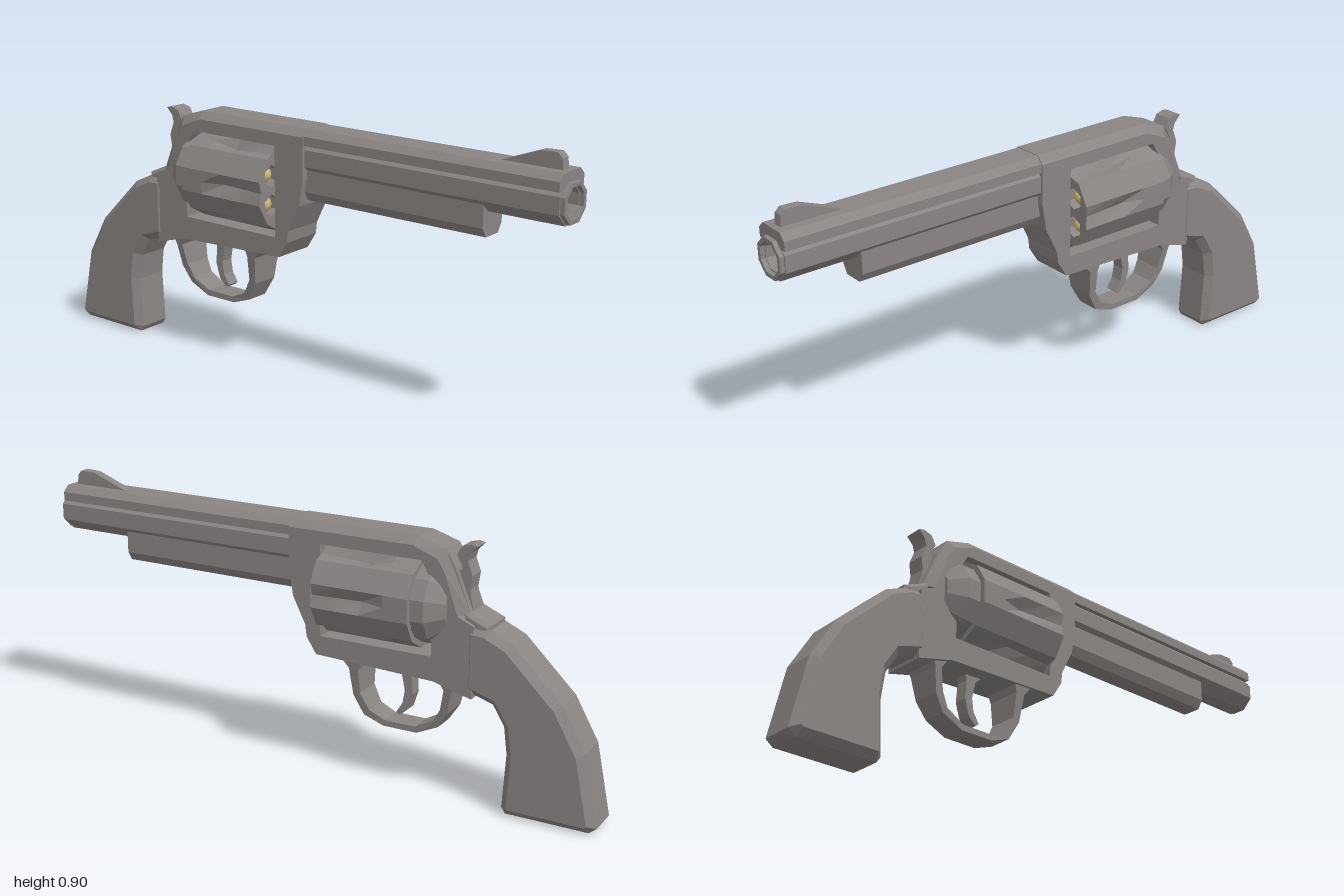
import * as THREE from 'three';

const steel = new THREE.MeshStandardMaterial({ color: 0x8a8583 });
steel.name = 'steel grey';
const brass = new THREE.MeshStandardMaterial({ color: 0xcdb872 });
brass.name = 'brass';

// Side profile given as [z, y] points, extruded across x and centred.
function sideProfile(points, width, bevel = 0, holes = []) {
  const flip = (list) => list.map(([z, y]) => new THREE.Vector2(-z, y));
  const shape = new THREE.Shape(flip(points));
  for (const h of holes) shape.holes.push(new THREE.Path(flip(h)));
  const depth = width - 2 * bevel;
  const g = new THREE.ExtrudeGeometry(shape, {
    depth, bevelEnabled: bevel > 0, bevelSize: bevel, bevelThickness: bevel,
    bevelOffset: -bevel, bevelSegments: 1,
  });
  return g.translate(0, 0, -depth / 2).rotateY(Math.PI / 2);
}

// Cross-section in x, y extruded from z0 forward to z1.
function lengthwise(points, z0, z1, hole, steps = 1) {
  const shape = new THREE.Shape(points.map(([x, y]) => new THREE.Vector2(x, y)));
  for (const h of hole || []) shape.holes.push(new THREE.Path(h.map(([x, y]) => new THREE.Vector2(x, y))));
  return new THREE.ExtrudeGeometry(shape, { depth: z1 - z0, bevelEnabled: false, steps }).translate(0, 0, z0);
}

function ngon(n, r, cx, cy, phase = 0) {
  return Array.from({ length: n }, (_, i) => {
    const a = phase + (i / n) * Math.PI * 2;
    return [cx + r * Math.cos(a), cy + r * Math.sin(a)];
  });
}

// Scale x of each vertex by a factor depending on (z, y), then refresh flat normals.
function scaleWidth(g, factor) {
  const p = g.attributes.position;
  for (let i = 0; i < p.count; i++) p.setX(i, p.getX(i) * factor(p.getZ(i), p.getY(i)));
  g.computeVertexNormals();
  return g;
}

export function createModel() {
  const model = new THREE.Group();
  const add = (name, geometry, material = steel, parent = model) => {
    const m = new THREE.Mesh(geometry, material);
    m.name = name;
    parent.add(m);
    return m;
  };

  // Barrel: hollow octagon with a chamfered rib on top and a lug below
  const by = 0.759, oct = Math.PI / 8;
  add('barrel', lengthwise(ngon(8, 0.071, 0, by, oct), 0.06, 0.985, [ngon(8, 0.048, 0, by, oct)]));
  add('muzzleCrown', lengthwise(ngon(8, 0.066, 0, by, oct), 0.985, 1, [ngon(8, 0.052, 0, by, oct)]));
  add('borePlug', lengthwise(ngon(6, 0.05, 0, by), 0.06, 0.93));
  add('barrelRib', lengthwise(
    [[-0.069, 0.8], [0.069, 0.8], [0.069, 0.83], [0.047, 0.851], [-0.047, 0.851], [-0.069, 0.83]], 0.06, 0.985,
    [ngon(8, 0.048, 0, by, oct).map(([x, y]) => [x * 0.3, 0.81 + (y - by) * 0.1])]));
  add('underLug', lengthwise(
    [[-0.052, 0.72], [-0.052, 0.645], [-0.033, 0.615], [0.033, 0.615], [0.052, 0.645], [0.052, 0.72]], 0.04, 0.73));
  add('frontSight', sideProfile(
    [[0.965, 0.845], [0.96, 0.885], [0.945, 0.9], [0.89, 0.898], [0.76, 0.85], [0.76, 0.845]], 0.033));

  // Frame with cylinder window
  const inner = [[-0.525, 0.625], [-0.48, 0.755], [-0.455, 0.795], [-0.37, 0.828], [0.07, 0.828]];
  add('frame', sideProfile([
    ...inner, [0.07, 0.69], [0.055, 0.6], [0.01, 0.51], [0.005, 0.47], [-0.03, 0.415], [-0.45, 0.4],
    [-0.58, 0.365], [-0.58, 0.6],
  ], 0.15, 0, [[[-0.045, 0.785], [-0.4, 0.785], [-0.44, 0.72], [-0.44, 0.48], [-0.045, 0.48]]]));

  // Chamfered strip along the top and back of the frame
  const outer = [[0.07, 0.853], [-0.38, 0.853], [-0.47, 0.825], [-0.502, 0.77], [-0.56, 0.63]];
  const isOuter = (z, y) => outer.some(([a, b]) => Math.hypot(a - z, b - y) < 0.002);
  add('topStrap', scaleWidth(sideProfile([...outer, ...inner], 0.15), (z, y) => (isOuter(z, y) ? 0.66 : 1)));
  add('backTang', sideProfile(
    [[-0.53, 0.65], [-0.56, 0.635], [-0.63, 0.605], [-0.63, 0.585], [-0.56, 0.56]], 0.125, 0.012));

  // Fluted cylinder with six chambers
  const cylinder = new THREE.Group();
  cylinder.name = 'cylinder';
  cylinder.position.set(0, 0.637, 0);
  model.add(cylinder);
  const R = 0.152, ring = [];
  for (let k = 0; k < 6; k++) {
    const a = (k * Math.PI) / 3;
    for (const [d, r] of [[-1, R], [0, R * 0.966], [1, R]]) {
      const t = a + (d * Math.PI) / 12;
      ring.push([r * Math.cos(t), r * Math.sin(t)]);
    }
  }
  const chambers = Array.from({ length: 6 }, (_, k) => {
    const a = Math.PI / 6 + (k * Math.PI) / 3;
    return [0.098 * Math.cos(a), 0.098 * Math.sin(a), a];
  });
  const body = lengthwise(ring, -0.39, -0.05, chambers.map(([x, y, a]) => ngon(6, 0.037, x, y, a)), 4);
  const p = body.attributes.position;
  for (let i = 0; i < p.count; i++) {
    const x = p.getX(i), y = p.getY(i), z = p.getZ(i), r = Math.hypot(x, y);
    if (z < -0.29 || Math.abs(r - R * 0.966) > 0.001) continue;
    const s = (z < -0.2 ? 0.122 : z < -0.1 ? 0.129 : 0.136) / r;
    p.setXY(i, x * s, y * s);
  }
  body.computeVertexNormals();
  add('cylinderBody', body, steel, cylinder);
  for (const [name, front, back, z0, z1] of [
    ['cylinderRim', 0.133, 0.133, -0.385, -0.435], ['recoilShield', 0.133, 0.09, -0.435, -0.49]]) {
    const g = new THREE.CylinderGeometry(front, back, z0 - z1, 12).toNonIndexed();
    g.rotateX(Math.PI / 2).rotateZ(Math.PI / 12).translate(0, 0, (z0 + z1) / 2);
    g.computeVertexNormals();
    add(name, g, steel, cylinder);
  }
  for (const [x, y] of chambers) {
    const round = add('cartridge', new THREE.SphereGeometry(0.036, 12, 8), brass, cylinder);
    round.scale.z = 1.6;
    round.position.set(x, y, -0.115);
  }

  // Hammer with thumb spur
  add('hammer', sideProfile([
    [-0.47, 0.66], [-0.485, 0.74], [-0.52, 0.765], [-0.498, 0.805], [-0.515, 0.835], [-0.545, 0.843], [-0.565, 0.838],
    [-0.542, 0.815], [-0.535, 0.79], [-0.552, 0.745], [-0.545, 0.7], [-0.56, 0.63],
  ], 0.062));

  // Grip with chamfered edges
  add('grip', sideProfile([
    [-0.55, 0.6], [-0.62, 0.597], [-0.7, 0.56], [-0.87, 0.395], [-0.95, 0.255], [-1, 0.02], [-0.975, 0],
    [-0.7, 0], [-0.687, 0.02], [-0.697, 0.2], [-0.685, 0.29], [-0.645, 0.355], [-0.55, 0.385],
  ], 0.158, 0.024));

  // Trigger guard, narrowing toward the bottom
  add('triggerGuard', scaleWidth(sideProfile([
    [-0.115, 0.42], [-0.145, 0.385], [-0.155, 0.29], [-0.19, 0.225], [-0.26, 0.2], [-0.38, 0.2], [-0.455, 0.235],
    [-0.49, 0.29], [-0.505, 0.37], [-0.525, 0.41], [-0.45, 0.42], [-0.48, 0.37], [-0.465, 0.3], [-0.44, 0.255],
    [-0.375, 0.22], [-0.265, 0.22], [-0.21, 0.245], [-0.18, 0.3], [-0.178, 0.385], [-0.19, 0.42],
  ], 0.14), (z, y) => THREE.MathUtils.clamp(0.58 + (y - 0.23) * 2, 0.58, 0.95)));

  // Trigger
  add('trigger', sideProfile([
    [-0.28, 0.42], [-0.315, 0.385], [-0.327, 0.33], [-0.32, 0.285], [-0.298, 0.25], [-0.31, 0.24], [-0.338, 0.265],
    [-0.355, 0.32], [-0.35, 0.385], [-0.36, 0.42],
  ], 0.045));

  return model;
}
